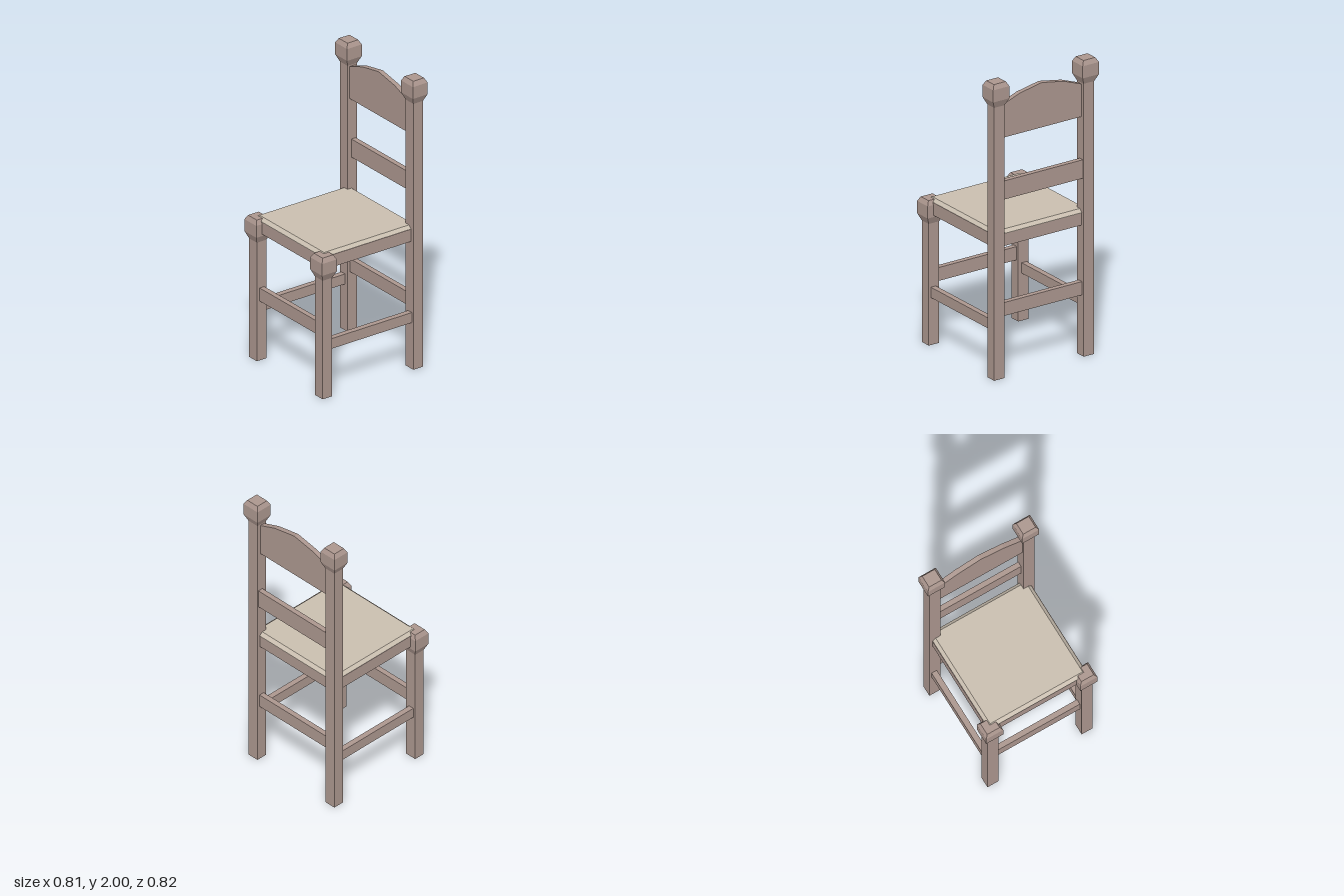
import * as THREE from 'three';

const wood = new THREE.MeshStandardMaterial({ color: 0xab968e });
wood.name = 'wood';
const fabric = new THREE.MeshStandardMaterial({ color: 0xc9beaf });
fabric.name = 'seat fabric';

export function createModel() {
  const chair = new THREE.Group();
  chair.name = 'chair';

  function add(name, geometry, material) {
    const mesh = new THREE.Mesh(geometry, material);
    mesh.name = name;
    chair.add(mesh);
    return mesh;
  }

  // Box given by its lower and upper corners
  function bar(name, [x0, y0, z0], [x1, y1, z1]) {
    const g = new THREE.BoxGeometry(x1 - x0, y1 - y0, z1 - z0);
    g.translate((x0 + x1) / 2, (y0 + y1) / 2, (z0 + z1) / 2);
    return add(name, g, wood);
  }

  // Four-sided solid from [half width, height] steps, with sharp edges
  function squareTurned(steps, depthRatio) {
    const points = steps.map(([half, y]) => new THREE.Vector2(half * Math.SQRT2, y));
    points.unshift(new THREE.Vector2(0, steps[0][1]));
    points.push(new THREE.Vector2(0, steps[steps.length - 1][1]));
    const g = new THREE.LatheGeometry(points, 4, Math.PI / 4).toNonIndexed();
    g.scale(1, 1, depthRatio);
    g.computeVertexNormals();
    return g;
  }

  // Posts, each ending in a chamfered finial
  function post(name, x, z, top) {
    const steps = [
      [0.04, 0], [0.04, top - 0.16], [0.062, top - 0.112],
      [0.062, top - 0.03], [0.045, top],
    ];
    add(name, squareTurned(steps, 0.925), wood).position.set(x, 0, z);
  }
  for (const [side, s] of [['left', 1], ['right', -1]]) {
    post(side + 'FrontLeg', s * 0.342, 0.355, 0.98);
    post(side + 'BackPost', s * 0.342, -0.352, 2);
    // Side stretcher
    const xs = [s * 0.328, s * 0.366].sort((a, b) => a - b);
    bar(side + 'Stretcher', [xs[0], 0.32, -0.33], [xs[1], 0.39, 0.33]);
  }

  // Front and back stretchers
  bar('frontStretcher', [-0.32, 0.41, 0.334], [0.32, 0.5, 0.37]);
  bar('backStretcher', [-0.32, 0.41, -0.37], [0.32, 0.5, -0.334]);

  // Seat frame
  bar('seatFrame', [-0.36, 0.88, -0.367], [0.36, 0.965, 0.367]);

  // Cushion with bevelled edges
  const cushion = squareTurned([[0.358, 0.962], [0.358, 0.965], [0.336, 0.985]], 1.03);
  add('seatCushion', cushion, fabric);

  // Middle back slat
  bar('backSlat', [-0.32, 1.2, -0.38], [0.32, 1.325, -0.345]);

  // Crest rail with a faceted arch
  const arch = new THREE.Shape([
    [-0.32, 1.61], [0.32, 1.61], [0.32, 1.824], [0.17, 1.88],
    [0, 1.912], [-0.17, 1.88], [-0.32, 1.824],
  ].map(([x, y]) => new THREE.Vector2(x, y)));
  const crest = new THREE.ExtrudeGeometry(arch, { depth: 0.033, bevelEnabled: false });
  add('crestRail', crest, wood).position.z = -0.363;

  return chair;
}
